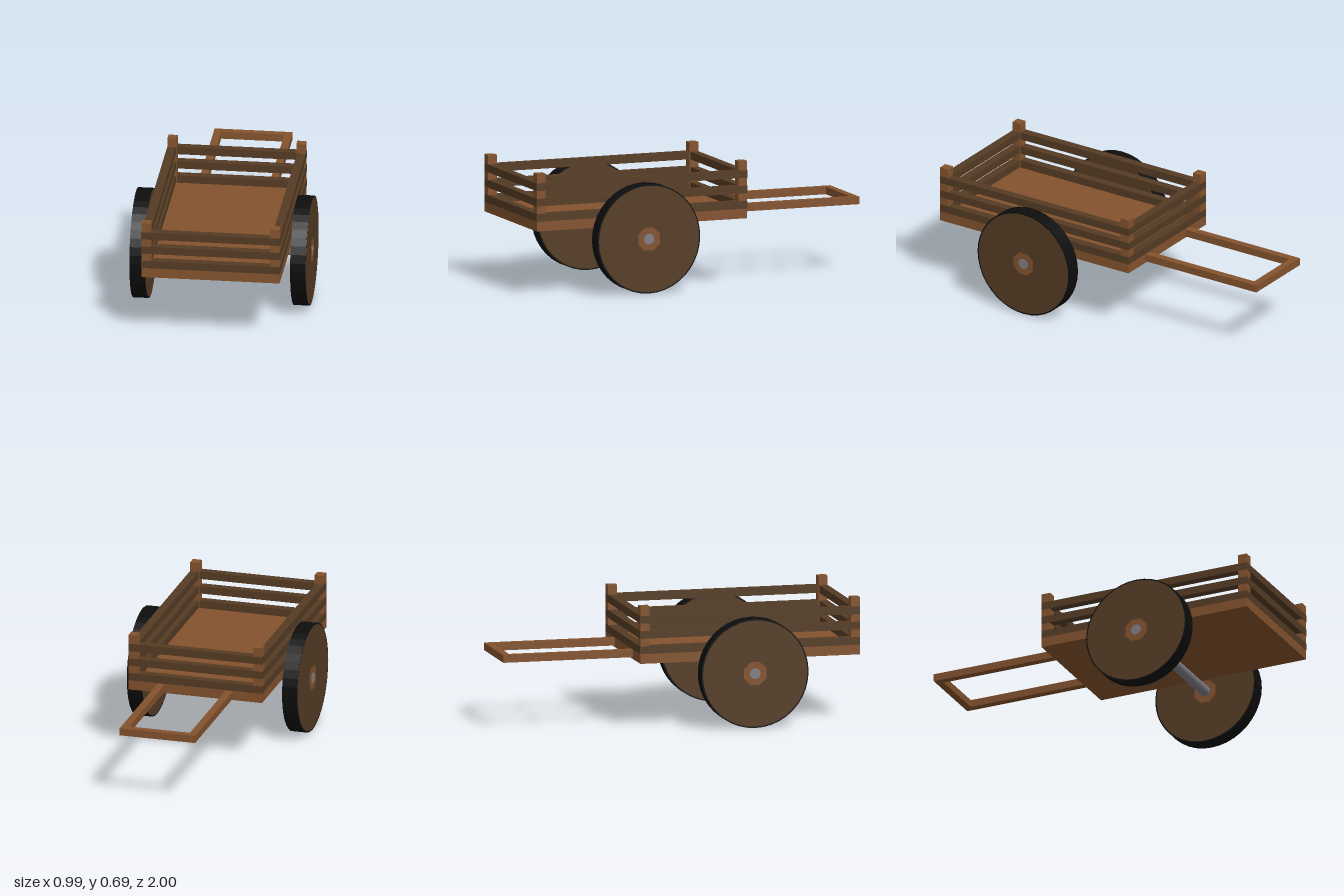
import * as THREE from 'three';

export function createModel() {
  const cart = new THREE.Group();
  cart.name = 'handCart';
  const mat = (name, color) => {
    const m = new THREE.MeshStandardMaterial({ color });
    m.name = name;
    return m;
  };
  const wood = mat('wood', 0x83522d);
  const darkWood = mat('darkWood', 0x543b23);
  const rubber = mat('rubber', 0x0d0d0d);
  const steel = mat('steel', 0x7e7e86);

  // Box given by its min and max corners
  const box = (name, m, x0, x1, y0, y1, z0, z1, parent = cart) => {
    const mesh = new THREE.Mesh(new THREE.BoxGeometry(x1 - x0, y1 - y0, z1 - z0), m);
    mesh.position.set((x0 + x1) / 2, (y0 + y1) / 2, (z0 + z1) / 2);
    mesh.name = name;
    parent.add(mesh);
  };
  // Cylinder lying along x
  const disc = (name, m, r, width, sides, parent, turn = 0) => {
    const g = new THREE.CylinderGeometry(r, r, width, sides).toNonIndexed();
    g.rotateY(turn).rotateZ(Math.PI / 2);
    g.computeVertexNormals();
    const mesh = new THREE.Mesh(g, m);
    mesh.name = name;
    parent.add(mesh);
  };

  // Bed
  const W = 0.386, front = 0.999, back = -0.259;
  box('bed', wood, -W, W, 0.37, 0.425, back, front);

  // Corner posts
  for (const s of [-1, 1]) {
    for (const z of [back, front - 0.052]) {
      const x = s > 0 ? W - 0.052 : -W;
      box('cornerPost', wood, x, x + 0.052, 0.425, 0.693, z, z + 0.052);
    }
  }

  // Three slats on each of the four sides, just proud of the posts
  const e = 0.001, t = 0.047;
  for (const y of [0.425, 0.511, 0.597]) {
    const top = y + 0.043;
    box('frontSlat', darkWood, -W, W, y, top, front - t, front + e);
    box('backSlat', darkWood, -W, W, y, top, back - e, back + t);
    box('leftSlat', darkWood, W - t, W + e, y, top, back, front);
    box('rightSlat', darkWood, -W - e, -W + t, y, top, back, front);
  }

  // Pull handle
  const handle = new THREE.Group();
  handle.name = 'handle';
  cart.add(handle);
  box('leftShaft', wood, 0.176, 0.218, 0.38, 0.422, -0.958, back, handle);
  box('rightShaft', wood, -0.218, -0.176, 0.38, 0.422, -0.958, back, handle);
  box('handleBar', wood, -0.218, 0.218, 0.38, 0.422, -1, -0.958, handle);

  // Axle and wheels
  const axleGroup = new THREE.Group();
  axleGroup.name = 'axleAndWheels';
  axleGroup.position.set(0, 0.3065, 0.371);
  cart.add(axleGroup);
  disc('axle', steel, 0.0305, 0.992, 12, axleGroup);
  for (const s of [-1, 1]) {
    const wheel = new THREE.Group();
    wheel.name = s > 0 ? 'leftWheel' : 'rightWheel';
    wheel.position.x = s * 0.449;
    axleGroup.add(wheel);
    disc('tire', rubber, 0.3065, 0.086, 40, wheel);
    disc('wheelDisc', darkWood, 0.299, 0.088, 40, wheel);
    disc('hub', wood, 0.07, 0.09, 8, wheel, Math.PI / 8);
  }
  return cart;
}
